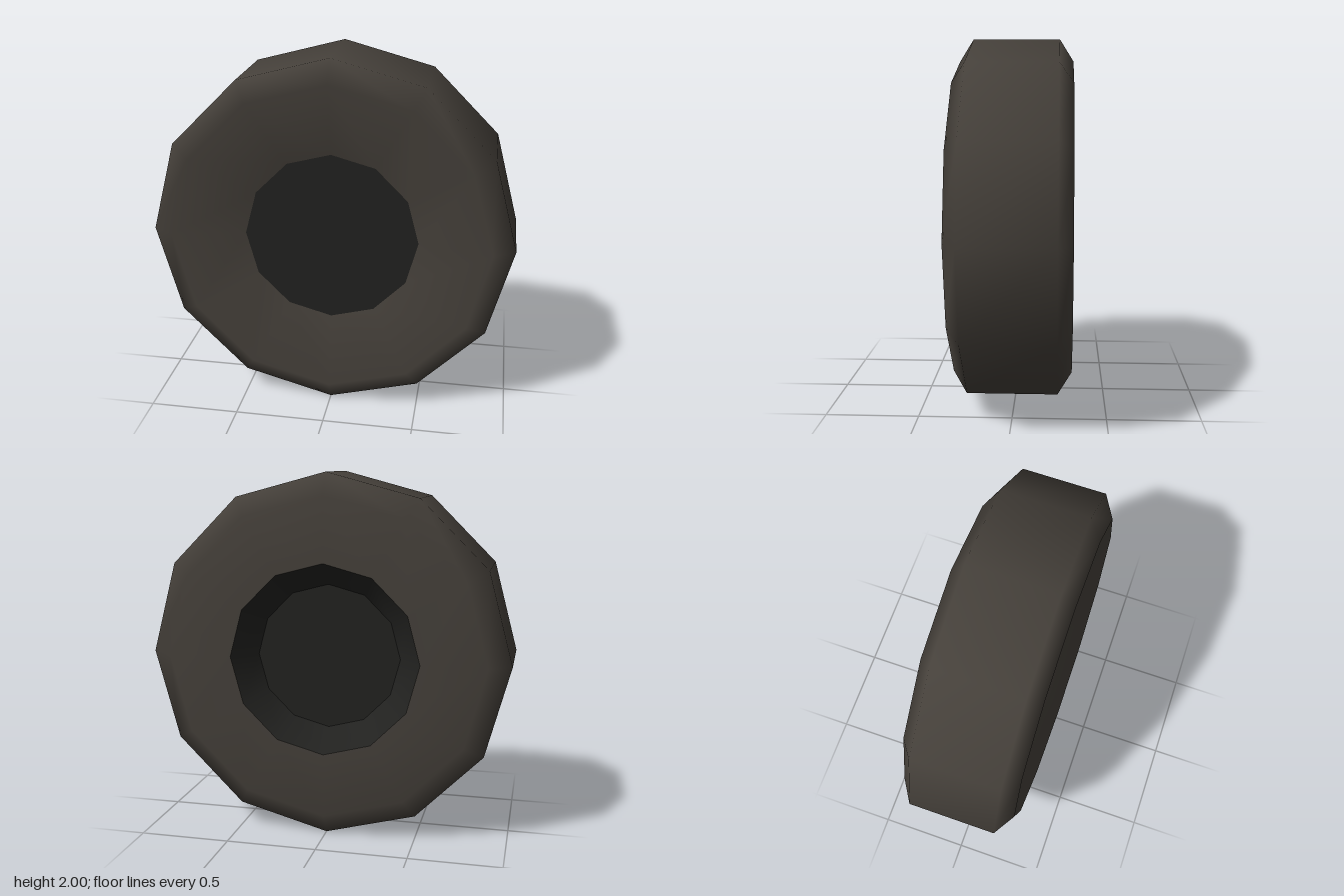
import * as THREE from 'three';

const SIDES = 12;

// Revolve a (radius, depth) profile, listed from back to front, around the z axis
function ring(name, profile, material) {
  const points = profile.map(([r, z]) => new THREE.Vector2(r, z));
  const geometry = new THREE.LatheGeometry(points, SIDES);
  geometry.rotateX(Math.PI / 2);
  const mesh = new THREE.Mesh(geometry, material);
  mesh.name = name;
  return mesh;
}

export function createModel() {
  const wheel = new THREE.Group();
  wheel.name = 'wheel';

  const rubber = new THREE.MeshStandardMaterial({ color: 0x45403a });
  const dark = new THREE.MeshStandardMaterial({ color: 0x222220 });

  const body = new THREE.Group();
  body.name = 'wheelBody';
  body.position.y = 1;
  wheel.add(body);

  // Tyre: back sidewall, chamfer, tread, chamfer, slightly dished front sidewall
  body.add(ring('tyre', [
    [0.525, -0.315], [0.88, -0.315], [1, -0.24],
    [1, 0.24], [0.88, 0.315], [0.48, 0.22],
  ], rubber));

  // Closed front hub
  body.add(ring('frontHub', [[0.48, 0.22], [0, 0.22]], dark));

  // Tapered recess in the back with a flat floor
  body.add(ring('recessFloor', [[0, -0.185], [0.4, -0.185]], dark));
  body.add(ring('recessWall', [[0.4, -0.185], [0.525, -0.315]], dark));

  return wheel;
}
